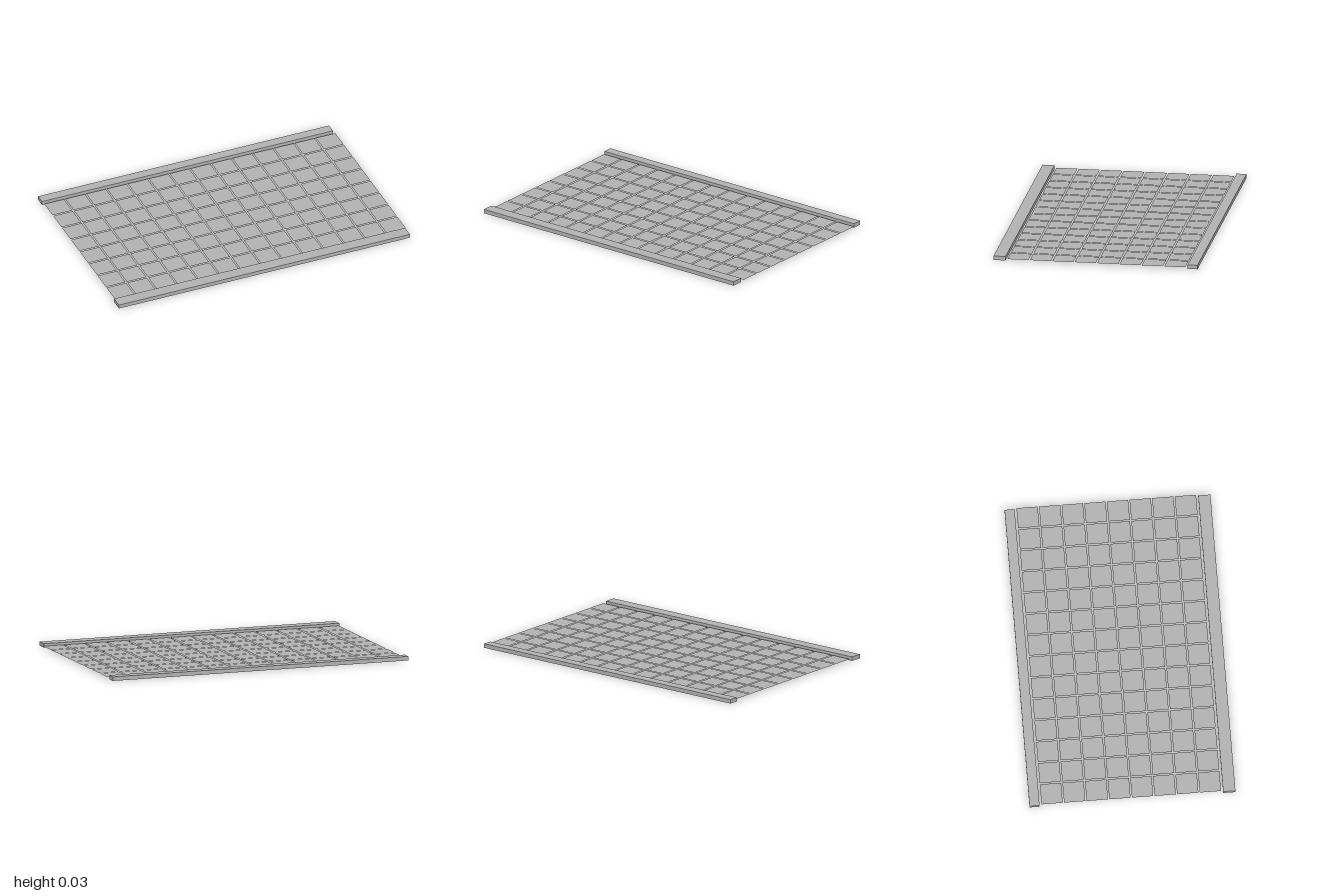
import * as THREE from 'three';

export function createModel() {
  const model = new THREE.Group();
  const grey = new THREE.MeshStandardMaterial({ color: 0xb2b2b2, side: THREE.DoubleSide });
  grey.name = 'plain grey';

  // Long rails along the front and back edges
  const railHeight = 0.026;
  function addRail(name, zBack, zFront) {
    const rail = new THREE.Mesh(new THREE.BoxGeometry(1.99, railHeight, zFront - zBack), grey);
    rail.name = name;
    rail.position.set(-0.005, railHeight / 2, (zBack + zFront) / 2);
    model.add(rail);
  }
  addRail('frontRail', 0.573, 0.65);
  addRail('backRail', -0.65, -0.587);

  // Grid of flat square panels, half way up the rails
  const columns = 14, rows = 8, pitch = 0.1428, size = 0.134;
  const panels = new THREE.Group();
  panels.name = 'panels';
  const panelGeometry = new THREE.PlaneGeometry(size, size).rotateX(-Math.PI / 2);
  for (let row = 0; row < rows; row++) {
    for (let column = 0; column < columns; column++) {
      const panel = new THREE.Mesh(panelGeometry, grey);
      panel.name = `panel_${row + 1}_${column + 1}`;
      panel.position.set(
        -0.99 + size / 2 + column * pitch,
        railHeight / 2,
        -0.574 + size / 2 + row * pitch
      );
      panels.add(panel);
    }
  }
  model.add(panels);
  return model;
}
